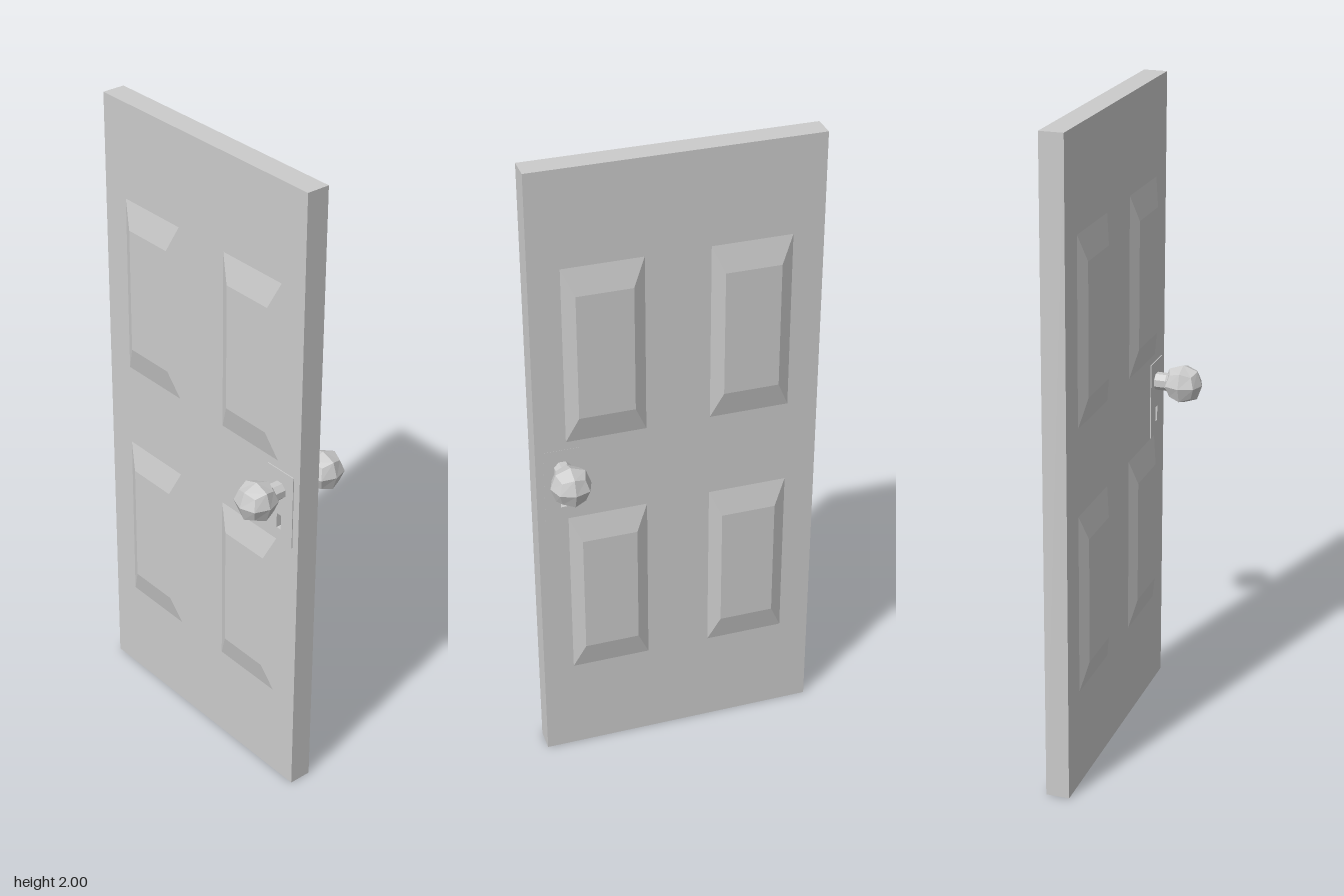
import * as THREE from 'three';

const material = new THREE.MeshStandardMaterial({ color: 0xcccccc, flatShading: true });

function mesh(name, geometry, parent) {
  const m = new THREE.Mesh(geometry, material);
  m.name = name;
  parent.add(m);
  return m;
}

// Slab from z0 to z1 with the rectangular keyhole cut right through
function slab(x0, x1, y0, y1, z0, z1) {
  const shape = new THREE.Shape();
  shape.moveTo(x0, y0).lineTo(x1, y0).lineTo(x1, y1).lineTo(x0, y1).closePath();
  const hole = new THREE.Path();
  hole.moveTo(0.344, 0.915).lineTo(0.344, 0.963).lineTo(0.362, 0.963).lineTo(0.362, 0.915).closePath();
  shape.holes.push(hole);
  return new THREE.ExtrudeGeometry(shape, { depth: z1 - z0, bevelEnabled: false }).translate(0, 0, z0);
}

// Raised panel: a box whose outer face is shrunk to form the bevels
function raisedPanel(width, height, depth, bevelX, bevelY) {
  const g = new THREE.BoxGeometry(width, height, depth).translate(0, 0, depth / 2);
  const p = g.attributes.position;
  for (let i = 0; i < p.count; i++) {
    if (p.getZ(i) < depth / 2) continue;
    p.setX(i, p.getX(i) - Math.sign(p.getX(i)) * bevelX);
    p.setY(i, p.getY(i) - Math.sign(p.getY(i)) * bevelY);
  }
  g.computeVertexNormals();
  return g;
}

// Faceted ball: a 2x2x2 cube grid with its edges and corners pulled in
function knobBall(radius) {
  const g = new THREE.BoxGeometry(2, 2, 2, 2, 2, 2);
  const p = g.attributes.position;
  const v = new THREE.Vector3();
  const pull = [0, 1, 0.74, 0.57];
  for (let i = 0; i < p.count; i++) {
    v.fromBufferAttribute(p, i);
    const axes = Math.round(Math.abs(v.x) + Math.abs(v.y) + Math.abs(v.z));
    v.multiplyScalar(radius * pull[axes]);
    p.setXYZ(i, v.x, v.y, v.z);
  }
  g.computeVertexNormals();
  return g;
}

export function createModel() {
  const model = new THREE.Group();
  model.name = 'panelDoor';

  mesh('doorSlab', slab(-0.434, 0.434, 0, 2, -0.036, 0.036), model);

  // Lock plate, barely proud of both faces
  mesh('lockPlate', slab(0.3, 0.41, 0.874, 1.114, -0.0365, 0.039), model);

  // Both faces carry four raised panels and a knob
  for (const side of [1, -1]) {
    const face = new THREE.Group();
    face.name = side > 0 ? 'frontFace' : 'backFace';
    model.add(face);
    const turn = side > 0 ? 0 : Math.PI;

    for (const x of [-0.219, 0.219]) {
      for (const y of [0.59, 1.42]) {
        const panel = mesh('raisedPanel', raisedPanel(0.243, 0.562, 0.0185, 0.037, 0.083), face);
        panel.position.set(x, y, side * 0.036);
        panel.rotation.y = turn;
      }
    }

    const knob = new THREE.Group();
    knob.name = 'doorKnob';
    knob.position.set(0.353, 1.048, 0);
    knob.rotation.y = turn;
    face.add(knob);

    // Eight-sided stem with a small flare into the ball
    const profile = [[0.028, 0.03], [0.028, 0.074], [0.036, 0.082], [0.036, 0.09]]
      .map(([r, z]) => new THREE.Vector2(r, z));
    const stem = new THREE.LatheGeometry(profile, 8, Math.PI / 8);
    mesh('knobStem', stem.rotateX(Math.PI / 2), knob);
    mesh('knobBall', knobBall(0.061), knob).position.z = 0.126;
  }

  return model;
}
